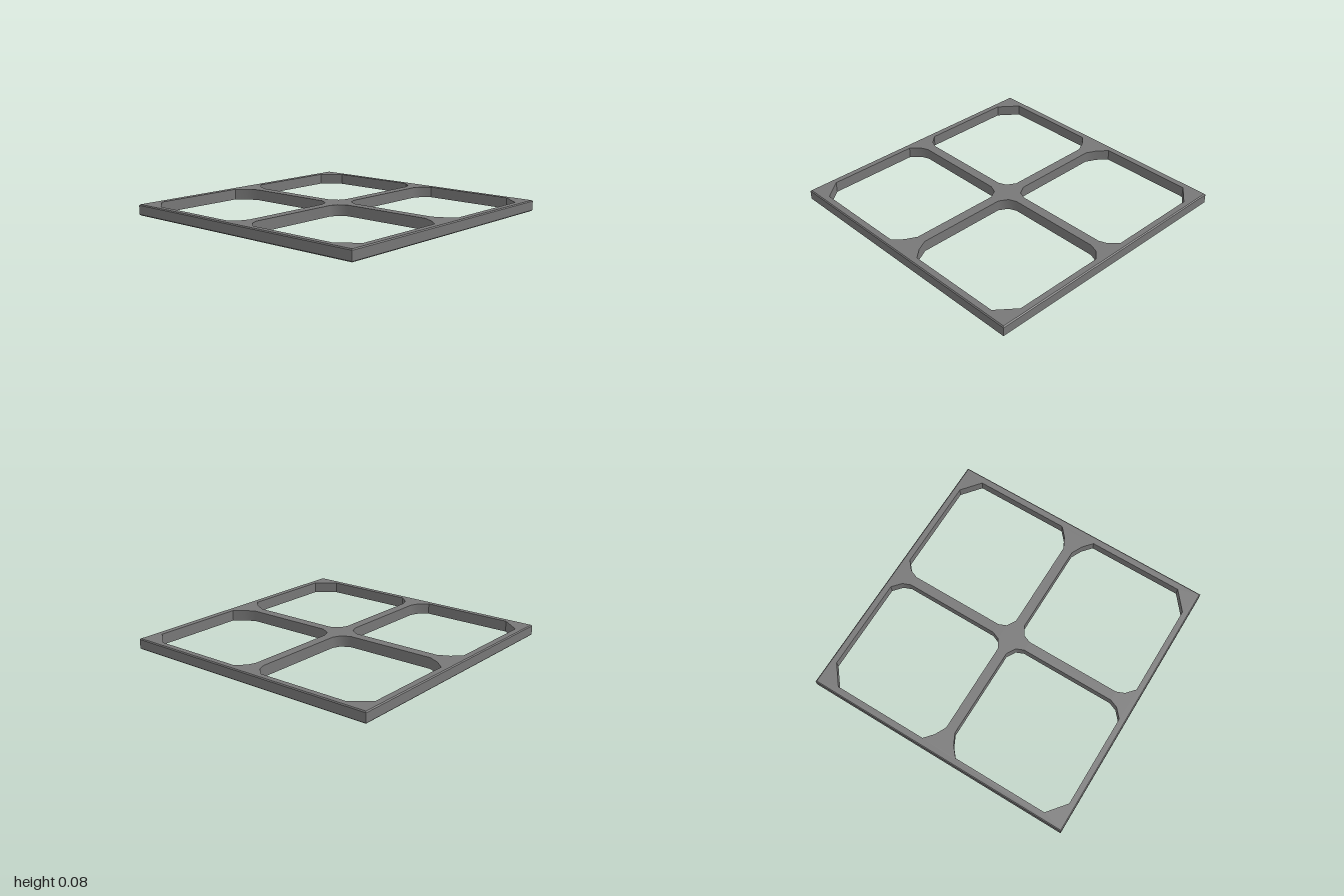
import * as THREE from 'three';
import { toCreasedNormals } from 'three/addons/utils/BufferGeometryUtils.js';

const HEIGHT = 0.08;
const CHAMFER = 0.007;

// Corner-cut window opening of one quadrant, mirrored by sx and sy
function windowOpening(sx, sy) {
  const outline = [
    [0.036, 0.13], [0.06, 0.073], [0.125, 0.036],   // hub corner
    [0.8, 0.036], [0.88, 0.076], [0.948, 0.135],    // side bar corner
    [0.948, 0.84], [0.81, 0.952],                   // outer corner
    [0.125, 0.952], [0.06, 0.895], [0.036, 0.835],  // end bar corner
  ];
  return new THREE.Path(outline.map(([x, y]) => new THREE.Vector2(sx * x, sy * y)));
}

export function createModel() {
  const group = new THREE.Group();
  group.name = 'windowFrame';

  // Square plate with four openings
  const plate = new THREE.Shape([[-1, -1], [1, -1], [1, 1], [-1, 1]].map(([x, y]) => new THREE.Vector2(x, y)));
  for (const sx of [-1, 1]) for (const sy of [-1, 1]) plate.holes.push(windowOpening(sx, sy));

  const geometry = new THREE.ExtrudeGeometry(plate, { depth: HEIGHT, steps: 3, bevelEnabled: false });
  geometry.rotateX(-Math.PI / 2);

  // Chamfer only the outer rim: shift the inner layers and inset the end layers
  const levels = [0, CHAMFER, HEIGHT - CHAMFER, HEIGHT];
  const inset = (v) => (Math.abs(v) > 0.99 ? Math.sign(v) * (1 - CHAMFER) : v);
  const pos = geometry.attributes.position;
  for (let i = 0; i < pos.count; i++) {
    const layer = Math.round((pos.getY(i) / HEIGHT) * 3);
    pos.setY(i, levels[layer]);
    if (layer === 0 || layer === 3) {
      pos.setX(i, inset(pos.getX(i)));
      pos.setZ(i, inset(pos.getZ(i)));
    }
  }

  // Smooth the curved opening corners, keep the chamfers sharp
  const creased = toCreasedNormals(geometry, THREE.MathUtils.degToRad(38));
  const frame = new THREE.Mesh(creased, new THREE.MeshStandardMaterial({ color: 0x777777 }));
  frame.name = 'crossBarFrame';
  group.add(frame);
  return group;
}
